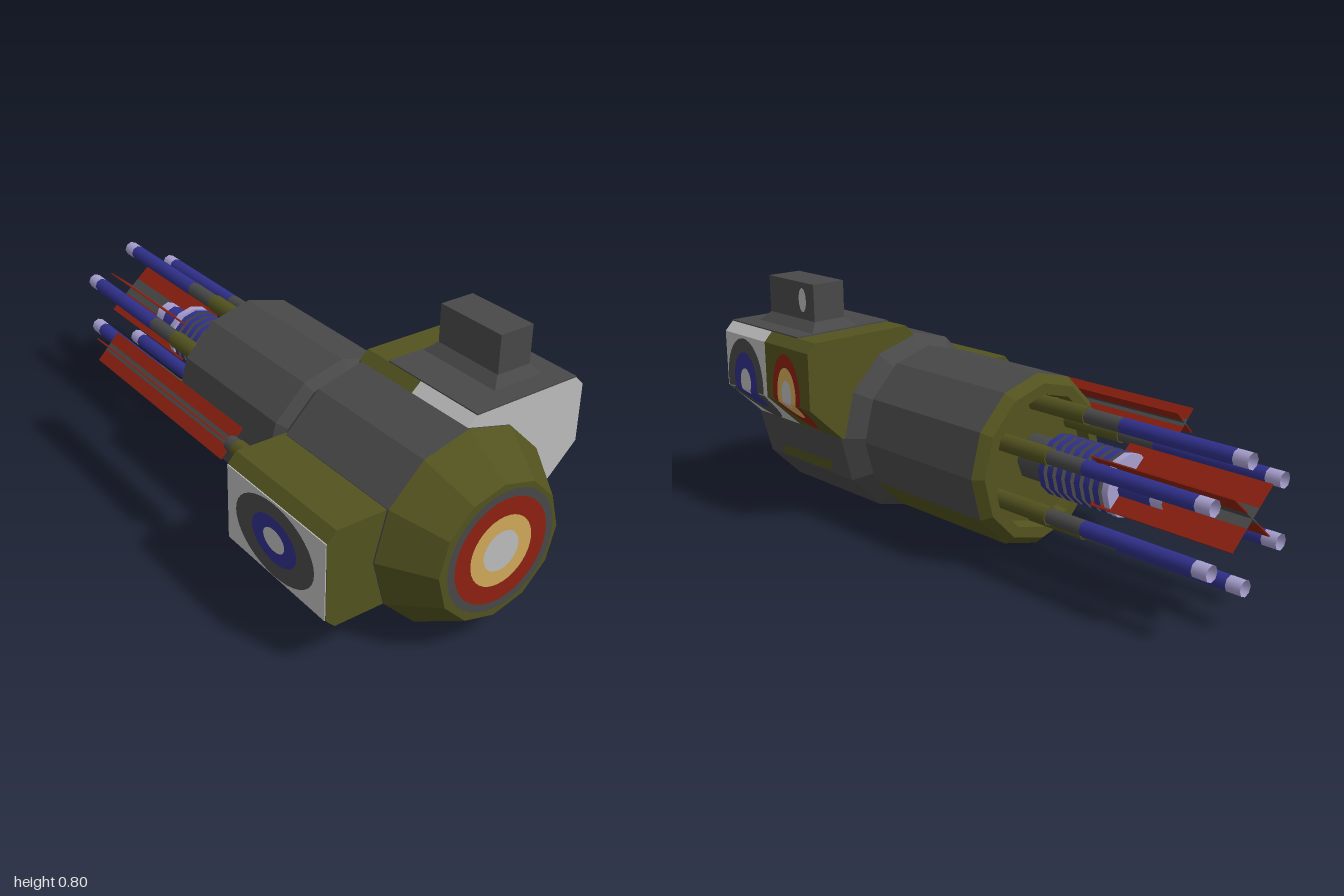
import * as THREE from 'three';

const mat = (name, color, side = THREE.FrontSide) => {
  const m = new THREE.MeshStandardMaterial({ color, side });
  m.name = name;
  return m;
};

export function createModel() {
  const group = new THREE.Group();
  group.name = 'model';
  const olive = mat('olive', 0x52521f);
  const gray = mat('dark gray', 0x484848);
  const white = mat('light gray', 0xbcbcbc);
  const red = mat('red', 0x8c2010);
  const gold = mat('gold', 0xd0a858);
  const blue = mat('blue', 0x30308c);
  const lavender = mat('lavender', 0xa8a0d0, THREE.DoubleSide);
  const CX = 0.014, CY = 0.31;

  const add = (name, geo, material, x = 0, y = 0, z = 0) => {
    const mesh = new THREE.Mesh(geo, material);
    mesh.name = name;
    mesh.position.set(x, y, z);
    group.add(mesh);
    return mesh;
  };
  const flat = (geo) => {
    const g = geo.toNonIndexed();
    g.computeVertexNormals();
    return g;
  };

  // Faceted shells around the long axis; profile points are [radius, z], angle 0 is down
  const shell = (name, points, material, sides = 12, start = 0) => {
    const geo = new THREE.LatheGeometry(points.map(p => new THREE.Vector2(...p)),
      sides, start * Math.PI / 6, sides * Math.PI / 6);
    add(name, flat(geo.rotateX(Math.PI / 2)), material, CX, CY);
  };
  shell('rearCap', [[0, -0.19], [0.205, -0.19], [0.215, -0.23], [0.25, -0.23], [0.277, -0.2]], olive);
  shell('rearBarrelUpper', [[0.277, -0.2], [0.277, 0.3], [0.25, 0.33]], gray, 8, 2);
  shell('rearBarrelBelly', [[0.277, -0.2], [0.277, 0.3], [0.25, 0.33]], olive, 4, -2);
  shell('frontBarrel', [[0.25, 0.33], [0.307, 0.39], [0.307, 0.85]], gray);
  shell('nose', [[0.307, 0.85], [0.213, 1], [0, 1]], olive);

  // Side housings, cut from an outline in the front plane
  const prism = (name, pts, z0, z1, material) => {
    const geo = new THREE.ExtrudeGeometry(new THREE.Shape(pts.map(p => new THREE.Vector2(...p))),
      { depth: z1 - z0, bevelEnabled: false });
    add(name, geo, material, 0, 0, z0);
  };
  const upperOutline = [[0.014, 0.31], [0.32, 0.31], [0.445, 0.43], [0.445, 0.615],
    [0.415, 0.645], [0.045, 0.645], [0.014, 0.617]];
  prism('upperHousingFront', upperOutline, 0.615, 0.845, white);
  prism('upperHousingBack', upperOutline, 0.38, 0.615, olive);
  prism('sideHousing', [[-0.445, 0.185], [-0.415, 0.155], [-0.2, 0.155], [-0.2, 0.462],
    [-0.415, 0.462], [-0.445, 0.43]], 0.38, 0.845, olive);
  add('upperHousingRoof', new THREE.BoxGeometry(0.37, 0.006, 0.37), gray, 0.23, 0.646, 0.66);
  add('sidePanel', new THREE.BoxGeometry(0.004, 0.245, 0.46), white, -0.446, 0.308, 0.613);

  // Sight block on the roof with a flared foot
  const foot = new THREE.BoxGeometry(0.19, 0.033, 0.305);
  const fp = foot.attributes.position;
  for (let i = 0; i < fp.count; i++) {
    if (fp.getY(i) > 0) fp.setXYZ(i, fp.getX(i) * 0.632, fp.getY(i), fp.getZ(i) * 0.803);
  }
  add('sightFoot', flat(foot), gray, 0.26, 0.6615, 0.63);
  add('sightBlock', new THREE.BoxGeometry(0.12, 0.122, 0.245), gray, 0.26, 0.739, 0.632);
  const lens = new THREE.CircleGeometry(1, 16).scale(0.02, 0.04, 1).rotateY(Math.PI / 2);
  add('sightLens', lens, white, 0.322, 0.742, 0.57);

  // Concentric lenses: bands are [material, outer radius u, outer radius v], inner to outer
  const lenses = (name, bands, place) => {
    let inner = [0, 0];
    for (const [material, ru, rv] of bands) {
      const geo = new THREE.RingGeometry(0.5, 1, 36, 8);
      const p = geo.attributes.position;
      for (let i = 0; i < p.count; i++) {
        const a = Math.atan2(p.getY(i), p.getX(i));
        const t = Math.hypot(p.getX(i), p.getY(i)) * 2 - 1;
        const u = Math.cos(a) * (inner[0] + (ru - inner[0]) * t);
        const v = Math.sin(a) * (inner[1] + (rv - inner[1]) * t);
        p.setXYZ(i, ...place(u, v));
      }
      geo.computeVertexNormals();
      add(name, geo, material);
      inner = [ru, rv];
    }
  };
  lenses('noseLens', [[white, 0.063, 0.063], [gold, 0.11, 0.11], [red, 0.165, 0.165], [gray, 0.19, 0.19]],
    (u, v) => [0.018 + u, 0.312 + v, 1.0]);
  group.children.filter(c => c.name === 'noseLens').forEach(c => { c.position.z = 0.002; });
  // Lenses on the upper housing follow its slanted lower face
  const onHousing = (zc) => (u, v) => {
    const y = 0.46 + v;
    return [0.449 - Math.max(0, 0.43 - y) * 1.04, y, zc - u];
  };
  lenses('blueLens', [[white, 0.03, 0.045], [blue, 0.065, 0.1], [gray, 0.102, 0.147]], onHousing(0.733));
  lenses('redLens', [[white, 0.026, 0.047], [gold, 0.05, 0.09], [red, 0.074, 0.135]], onHousing(0.5));
  lenses('sideLens', [[white, 0.05, 0.035], [blue, 0.105, 0.072], [gray, 0.185, 0.118]],
    (u, v) => [-0.45, 0.308 + v, 0.613 + u]);

  // Olive grip strip low on the barrel side, laid on the slanted facet
  const strip = new THREE.ShapeGeometry(new THREE.Shape([[-0.77, 0.165], [-0.5, 0.165], [-0.48, 0.185],
    [-0.48, 0.212], [-0.52, 0.205], [-0.75, 0.2]].map(p => new THREE.Vector2(...p))));
  const sp = strip.attributes.position;
  for (let i = 0; i < sp.count; i++) {
    const y = sp.getY(i);
    sp.setXYZ(i, 0.325 - (CY - y) * 0.268, y, -sp.getX(i));
  }
  strip.computeVertexNormals();
  add('gripStrip', strip, olive);

  // Rods along the long axis from z0 (rear) to z1
  const rod = (name, x, y, r, z0, z1, material, open = false, sides = 8) =>
    add(name, new THREE.CylinderGeometry(r, r, z1 - z0, sides, 1, open).rotateX(Math.PI / 2),
      material, x, y, (z0 + z1) / 2);
  for (let i = 0; i < 6; i++) {
    const a = Math.PI / 6 + i * Math.PI / 3;
    const x = CX + 0.182 * Math.cos(a), y = CY + 0.004 + 0.182 * Math.sin(a);
    rod('rodSocket', x, y, 0.029, -0.41, -0.19, olive);
    rod('rodCollar', x, y, 0.025, -0.545, -0.41, gray);
    rod('rod', x, y, 0.025, -0.94, -0.545, blue);
    rod('rodTip', x, y, 0.025, -0.99, -0.94, lavender, true);
  }

  // Central coil: stepped core with stacked discs
  const coreY = 0.32;
  rod('coreBase', CX, coreY, 0.075, -0.3, -0.19, gray);
  rod('core', CX, coreY, 0.053, -0.69, -0.3, blue);
  rod('coreTip', CX, coreY, 0.053, -0.735, -0.69, lavender, true);
  for (let i = 0; i < 8; i++) {
    const z = -0.3 - i * 0.036;
    rod('coilDisc', CX, coreY, 0.097, z - 0.022, z, i === 7 ? lavender : [blue, gray, gray], false, 12);
  }

  // Crossed fins: gray near the centre line, red outside
  const fin = (name, x, y, hw, hh, z0, z1, core) => {
    const len = Math.hypot(hw, hh), angle = Math.atan2(hh, hw);
    for (const a of [angle, Math.PI - angle, Math.PI + angle, -angle]) {
      for (const [r0, r1, material] of [[0, core, gray], [core, 1, red]]) {
        const geo = new THREE.BoxGeometry((r1 - r0) * len, 0.004, z1 - z0);
        geo.translate((r0 + r1) / 2 * len, 0, 0);
        add(name, geo, material, x, y, (z0 + z1) / 2).rotation.z = a;
      }
    }
  };
  fin('rearFin', CX, 0.338, 0.086, 0.075, -1, -0.5, 0.3);
  fin('sideFin', -0.36, 0.41, 0.038, 0.04, -0.48, 0.27, 0.25);
  rod('sideFinStub', -0.36, 0.41, 0.028, 0.3, 0.39, olive);
  rod('sideFinCollar', -0.36, 0.41, 0.025, 0.265, 0.3, gray);

  return group;
}
